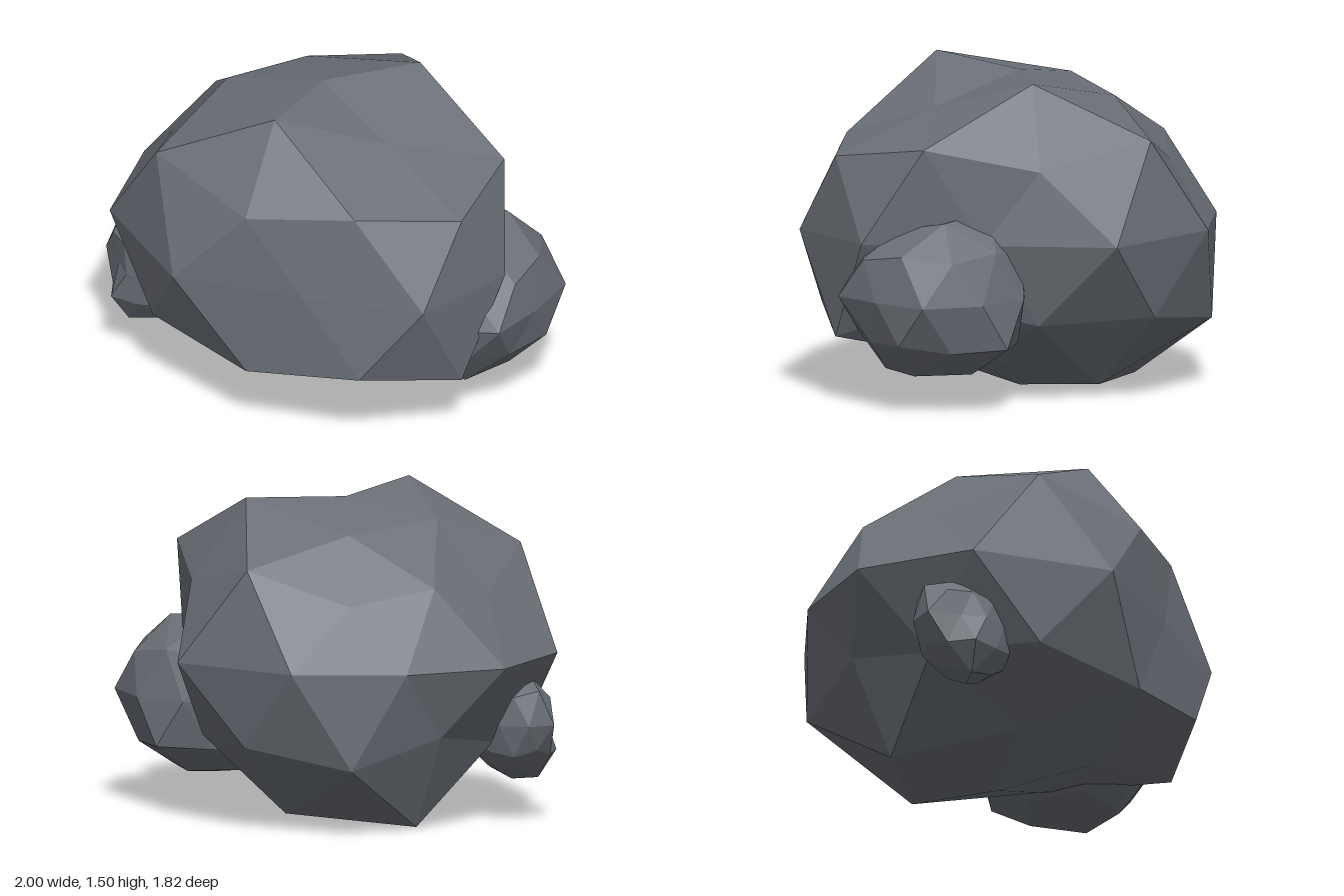
import * as THREE from 'three';
import { ConvexGeometry } from 'three/addons/geometries/ConvexGeometry.js';

// Rings of a 42-point icosphere, top to bottom: height, radius, first angle (degrees), count
const RINGS = [
  [1, 0, 0, 1],
  [0.8507, 0.5257, 0, 5],
  [0.4472, 0.8944, 0, 5],
  [0.5257, 0.8507, 36, 5],
  [0, 1, 18, 10],
  [-0.5257, 0.8507, 0, 5],
  [-0.4472, 0.8944, 36, 5],
  [-0.8507, 0.5257, 36, 5],
  [-1, 0, 0, 1],
];

function directions() {
  const dirs = [];
  for (const [y, r, start, count] of RINGS) {
    for (let i = 0; i < count; i++) {
      const a = THREE.MathUtils.degToRad(start + (i * 360) / count);
      dirs.push(new THREE.Vector3(r * Math.cos(a), y, r * Math.sin(a)));
    }
  }
  return dirs;
}

// A faceted boulder: each icosphere point is pushed in or out, then the whole is stretched
function boulder(name, material, center, scale, bumps) {
  const dirs = directions();
  const amounts = bumps.flat();
  const geometry = new ConvexGeometry(dirs);
  const pos = geometry.attributes.position;
  const p = new THREE.Vector3();
  for (let i = 0; i < pos.count; i++) {
    p.fromBufferAttribute(pos, i);
    let best = 0;
    dirs.forEach((d, k) => {
      if (d.distanceToSquared(p) < dirs[best].distanceToSquared(p)) best = k;
    });
    p.multiplyScalar(amounts[best]);
    pos.setXYZ(i, p.x * scale[0], p.y * scale[1], p.z * scale[2]);
  }
  geometry.computeVertexNormals();
  const mesh = new THREE.Mesh(geometry, material);
  mesh.name = name;
  mesh.position.set(...center);
  return mesh;
}

export function createModel() {
  const group = new THREE.Group();
  group.name = 'rock';
  const stone = new THREE.MeshStandardMaterial({ color: 0x6b7078, flatShading: true });
  stone.name = 'grey stone';

  // Large main boulder
  group.add(boulder('mainBoulder', stone, [-0.04, 0.765, 0], [1.11, 0.86, 0.9], [
    [0.81],
    [0.76, 1.005, 0.85, 0.79, 0.96],
    [0.97, 0.94, 0.78, 0.74, 0.87],
    [0.89, 1.03, 0.8, 0.98, 0.98],
    [0.95, 0.8, 1.01, 1.0, 0.91, 0.85, 0.93, 1.01, 0.77, 0.92],
    [1.02, 0.98, 0.85, 0.99, 0.85],
    [0.97, 1.0, 0.82, 0.96, 0.75],
    [0.83, 0.88, 1.03, 0.97, 0.8],
    [0.885],
  ]));

  // Medium boulder at the back left
  group.add(boulder('backBoulder', stone, [0.57, 0.52, -0.3], [0.47, 0.45, 0.47], [
    [0.7],
    [0.8, 0.75, 0.85, 1.0, 0.93],
    [0.9, 0.75, 0.9, 0.95, 0.95],
    [0.8, 0.8, 0.9, 0.95, 0.92],
    [0.96, 0.85, 0.9, 0.9, 0.9, 0.9, 0.95, 0.95, 1.02, 0.85],
    [0.85, 0.85, 0.9, 0.95, 0.95],
    [0.85, 0.9, 0.9, 1.07, 0.95],
    [0.92, 0.88, 0.9, 0.92, 0.92],
    [0.84],
  ]));

  // Small boulder at the front right
  group.add(boulder('frontBoulder', stone, [-0.6, 0.46, 0.54], [0.28, 0.31, 0.22], [
    [0.62],
    [0.7, 0.65, 0.75, 0.75, 0.7],
    [0.75, 0.75, 0.85, 0.95, 0.85],
    [0.75, 0.75, 0.98, 0.9, 0.85],
    [0.8, 0.75, 0.75, 0.66, 0.97, 0.94, 0.9, 0.9, 0.9, 0.9],
    [0.9, 0.85, 0.9, 0.9, 0.9],
    [0.85, 1.02, 0.85, 0.9, 0.9],
    [0.85, 1.02, 0.85, 0.85, 0.85],
    [0.88],
  ]));

  return group;
}
